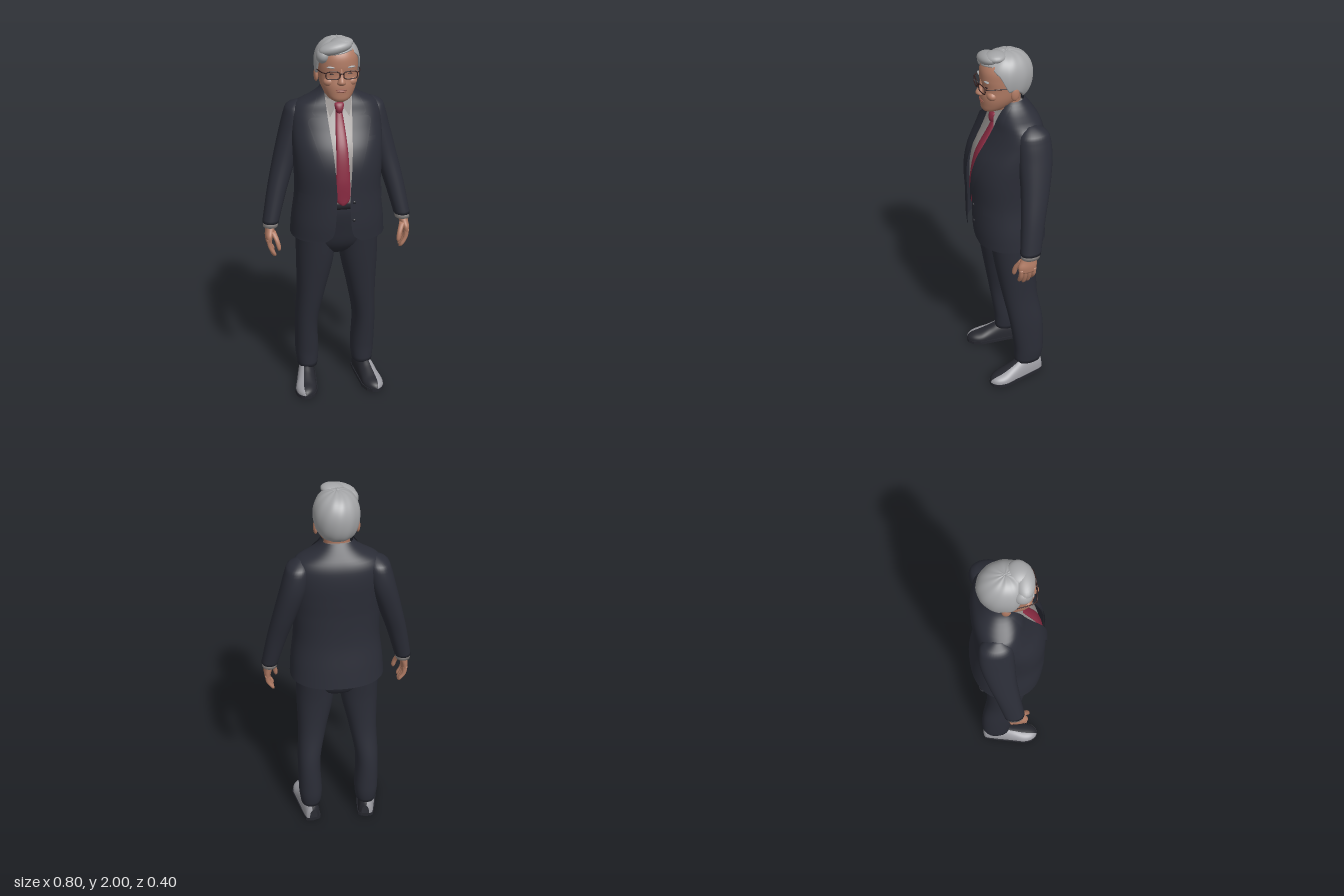
import * as THREE from 'three';

const mat = (name, color, side = THREE.FrontSide) => {
  const m = new THREE.MeshStandardMaterial({ color, side });
  m.name = name;
  return m;
};

// Read a table of rows [y, ...values] at height y, smoothly or linearly
function at(T, y, linear = false) {
  const last = T.length - 1;
  let i = 0;
  while (i < last - 1 && y > T[i + 1][0]) i++;
  const a = T[i], b = T[i + 1], h = b[0] - a[0];
  const t = THREE.MathUtils.clamp((y - a[0]) / h, 0, 1);
  const slope = (k, c) => {
    const p = T[Math.max(k - 1, 0)], q = T[Math.min(k + 1, last)];
    return (q[c] - p[c]) / (q[0] - p[0]);
  };
  return a.map((v, c) => {
    if (c === 0) return y;
    if (linear) return v + (b[c] - v) * t;
    const t2 = t * t, t3 = t2 * t;
    return (2 * t3 - 3 * t2 + 1) * v + (t3 - 2 * t2 + t) * h * slope(i, c)
      + (3 * t2 - 2 * t3) * b[c] + (t3 - t2) * h * slope(i + 1, c);
  });
}

// Surface from a rule fn(u, v) -> [x, y, z]; front side is du x dv
function grid(fn, nu, nv, closed = false) {
  const pos = [], idx = [], cols = closed ? nu : nu + 1;
  for (let j = 0; j <= nv; j++)
    for (let i = 0; i < cols; i++) pos.push(...fn(i / nu, j / nv));
  for (let j = 0; j < nv; j++)
    for (let i = 0; i < nu; i++) {
      const k = (i + 1) % cols, a = j * cols + i, b = j * cols + k;
      idx.push(a, b, b + cols, a, b + cols, a + cols);
    }
  const g = new THREE.BufferGeometry();
  g.setAttribute('position', new THREE.Float32BufferAttribute(pos, 3));
  g.setIndex(idx);
  g.computeVertexNormals();
  return g;
}

// Point on a superellipse section [y, cx, rx, front, back]
function ringPoint([y, cx, rx, f, b], a, n = 2.2, off = 0) {
  const p = v => Math.sign(v) * Math.pow(Math.abs(v), 2 / n);
  return [cx + (rx + off) * p(Math.sin(a)), y, (f + b) / 2 + ((f - b) / 2 + off) * p(Math.cos(a))];
}

// Closed body through sections listed from bottom to top
function loft(T, seg = 32, steps = 28, n = 2.2) {
  const y0 = T[0][0], y1 = T[T.length - 1][0];
  return grid((u, v) => {
    const r = Math.round(v * (steps + 2));
    const s = at(T, y0 + (y1 - y0) * THREE.MathUtils.clamp((r - 1) / steps, 0, 1));
    if (r === 0 || r === steps + 2) return [s[1], s[0], (s[3] + s[4]) / 2];
    return ringPoint(s, u * Math.PI * 2, n);
  }, seg, steps + 2, true);
}

function mirrored(geo) {
  const g = geo.clone().scale(-1, 1, 1);
  if (!g.index) g.setIndex([...Array(g.attributes.position.count).keys()]);
  const ix = g.index.array;
  for (let i = 0; i < ix.length; i += 3) [ix[i], ix[i + 2]] = [ix[i + 2], ix[i]];
  return g;
}

export function createModel() {
  const root = new THREE.Group();
  root.name = 'suitedMan';
  const suit = mat('suitCloth', 0x2b2d37, THREE.DoubleSide);
  const shirt = mat('shirtGrey', 0x989391, THREE.DoubleSide);
  const tieRed = mat('tieRed', 0x8a2b42);
  const skin = mat('skin', 0xb27c65);
  const lip = mat('lips', 0x96594d);
  const hair = mat('greyHair', 0xa4a5a7, THREE.DoubleSide);
  const frame = mat('glassesFrame', 0x35201f);
  const dark = mat('darkLeather', 0x26272e, THREE.DoubleSide);
  const grey = mat('greyLeather', 0x9b9ba1, THREE.DoubleSide);

  const add = (name, geo, m) => {
    const mesh = new THREE.Mesh(geo, m);
    mesh.name = name;
    root.add(mesh);
    return mesh;
  };
  const pair = (name, geo, m) => {
    add(name + 'Left', geo, m);
    add(name + 'Right', mirrored(geo), m);
  };
  const ball = (x, y, z, sx, sy, sz, rz = 0) =>
    new THREE.SphereGeometry(1, 24, 16).scale(sx, sy, sz).rotateZ(rz).translate(x, y, z);

  // Jacket: open shell whose front edges follow the opening half-width
  const J = [[0.955, 0, 0.25, 0.19, -0.2], [1.05, 0, 0.243, 0.197, -0.188], [1.2, 0, 0.226, 0.197, -0.168],
    [1.35, 0, 0.23, 0.194, -0.165], [1.45, 0, 0.235, 0.168, -0.17], [1.55, 0, 0.235, 0.115, -0.174],
    [1.62, 0, 0.228, 0.08, -0.167], [1.66, 0, 0.2, 0.066, -0.152], [1.69, 0, 0.14, 0.055, -0.132],
    [1.72, 0, 0.097, 0.045, -0.11], [1.745, 0, 0.079, 0.035, -0.09]];
  const opening = [[0.955, 0.1], [0.99, 0.055], [1.1, 0.038], [1.2, 0.035], [1.4, 0.047],
    [1.6, 0.063], [1.68, 0.068], [1.745, 0.07]];
  const N = 2.3;
  const angleAt = (s, x) => Math.asin(Math.pow(Math.min(x / s[2], 1), N / 2));
  add('jacketBody', grid((u, v) => {
    const y = 0.955 + 0.79 * v, s = at(J, y), a0 = angleAt(s, at(opening, y)[1]);
    return ringPoint(s, a0 + (2 * Math.PI - 2 * a0) * u, N);
  }, 64, 56), suit);

  // Flat pieces lying on the jacket front between two x limits
  const patch = (y0, y1, xa, xb, off, nv = 6) => grid((u, v) => {
    const y = y0 + (y1 - y0) * v, s = at(J, y), x = xa(y) + (xb(y) - xa(y)) * u;
    return ringPoint(s, angleAt(s, x), N, off);
  }, 8, nv);
  const lapelEdge = [[1.2, 0.037], [1.3, 0.072], [1.45, 0.12], [1.58, 0.158], [1.6, 0.15], [1.607, 0.115],
    [1.625, 0.135], [1.66, 0.122], [1.735, 0.082]];
  pair('lapel', patch(1.2, 1.735, y => at(opening, y)[1] - 0.002, y => at(lapelEdge, y, true)[1], 0.008, 60), suit);
  pair('pocketFlap', patch(1.165, 1.22, () => 0.14, () => 0.212, 0.007), suit);
  add('breastPocket', patch(1.485, 1.505, () => 0.1, () => 0.175, 0.006), suit);
  for (const y of [1.08, 1.18]) add('jacketButton', ball(0.055, y, 0.194, 0.009, 0.009, 0.006), dark);

  // Sleeves and shirt cuffs
  pair('sleeve', loft([[1.025, 0.355, 0.043, 0.052, -0.055], [1.2, 0.313, 0.052, 0.032, -0.092],
    [1.35, 0.27, 0.06, 0.018, -0.13], [1.5, 0.225, 0.067, 0.014, -0.158], [1.6, 0.203, 0.062, 0.01, -0.155],
    [1.64, 0.197, 0.05, -0.005, -0.135], [1.663, 0.185, 0.018, -0.04, -0.085]], 32, 40), suit);
  pair('shirtCuff', loft([[1.003, 0.357, 0.039, 0.049, -0.048], [1.04, 0.353, 0.039, 0.049, -0.048]], 28, 2), shirt);

  // Hands
  pair('palm', loft([[0.925, 0.37, 0.016, 0.066, -0.026], [0.96, 0.368, 0.021, 0.07, -0.03],
    [0.99, 0.361, 0.024, 0.055, -0.032], [1.02, 0.356, 0.027, 0.04, -0.035]], 24, 14), skin);
  [[0.054, 0.012], [0.032, 0], [0.009, 0.004], [-0.014, 0.02]].forEach(([z, lift], i) =>
    pair('finger' + (i + 1), loft([[0.838 + lift, 0.342, 0.006, z + 0.006, z - 0.006],
      [0.85 + lift, 0.347, 0.011, z + 0.011, z - 0.011], [0.9, 0.366, 0.012, z + 0.012, z - 0.012],
      [0.945, 0.371, 0.014, z + 0.013, z - 0.013]], 14, 10), skin));
  pair('thumb', loft([[0.888, 0.322, 0.006, 0.082, 0.068], [0.9, 0.322, 0.011, 0.086, 0.062],
    [0.94, 0.331, 0.013, 0.08, 0.053], [0.985, 0.35, 0.016, 0.058, 0.024]], 14, 10), skin);

  // Shirt front, collar band and wings
  const S = J.filter(s => s[0] >= 1.2 && s[0] < 1.7).map(([y, c, rx, f, b]) => [y, c, rx * 0.87, f - 0.022, b + 0.025]);
  add('shirtBody', loft([[1.165, 0, 0.195, 0.173, -0.14], ...S], 48, 32), shirt);
  add('shirtCollar', grid((u, v) => {
    const a = u * Math.PI * 2, y = 1.645 + 0.025 * (1 - Math.cos(a)) + 0.05 * v;
    return [(0.075 - 0.006 * v) * Math.sin(a), y, -0.014 + (0.07 - 0.004 * v) * Math.cos(a)];
  }, 40, 4, true), shirt);
  const wing = [[0.012, 1.668, 0.066], [0.05, 1.602, 0.08], [0.014, 1.688, 0.06], [0.07, 1.692, 0.036]];
  pair('collarWing', grid((u, v) => wing[u + 2 * v], 1, 1), shirt);

  // Tie follows the shirt front
  const front = y => at(S, y)[3];
  const blade = [[1.162, 0.012], [1.185, 0.035], [1.3, 0.036], [1.45, 0.03], [1.58, 0.022], [1.635, 0.015]];
  add('tieBlade', loft(blade.map(([y, w]) => {
    const z = y < 1.2 ? 0.175 : front(y);
    return [y, 0, w, z + 0.011, z - 0.012];
  }), 20, 30), tieRed);
  add('tieKnot', loft([[1.622, 0, 0.014, 0.082, 0.05], [1.64, 0, 0.02, 0.086, 0.05],
    [1.665, 0, 0.025, 0.078, 0.045], [1.674, 0, 0.02, 0.068, 0.045]], 20, 10), tieRed);

  // Trousers
  add('trouserHips', loft([[0.835, 0, 0.07, 0.04, -0.07], [0.87, 0, 0.14, 0.085, -0.115], [0.92, 0, 0.205, 0.118, -0.14],
    [1.0, 0, 0.222, 0.142, -0.16], [1.1, 0, 0.21, 0.165, -0.155], [1.172, 0, 0.195, 0.166, -0.145]], 48, 20), suit);
  add('waistband', loft([[1.135, 0, 0.2, 0.172, -0.15], [1.166, 0, 0.198, 0.177, -0.148]], 48, 2), dark);
  pair('trouserLeg', loft([[0.105, 0.158, 0.056, -0.002, -0.152], [0.15, 0.158, 0.062, 0.0, -0.162],
    [0.2, 0.159, 0.065, 0.002, -0.166], [0.4, 0.162, 0.063, 0.03, -0.158], [0.6, 0.14, 0.077, 0.066, -0.128],
    [0.8, 0.12, 0.1, 0.1, -0.126], [0.96, 0.115, 0.105, 0.122, -0.14]], 36, 36), suit);

  // Shoes turned outward: grey outer side, dark inner side, dark sole
  const F = [[-0.16, 0.022, 0.06], [-0.15, 0.038, 0.085], [-0.09, 0.046, 0.1], [-0.03, 0.05, 0.1], [0.03, 0.054, 0.072],
    [0.09, 0.058, 0.048], [0.135, 0.045, 0.036], [0.16, 0.022, 0.022], [0.167, 0.004, 0.006]];
  const place = g => g.rotateY(0.16).translate(0.175, 0, 0);
  const upper = (b0, b1) => place(grid((u, v) => {
    const [z, w, h] = at(F, -0.16 + 0.327 * u), b = Math.PI * (b0 + (b1 - b0) * v);
    return [w * Math.cos(b), 0.022 + h * Math.pow(Math.sin(b), 0.8), z];
  }, 40, 14).scale(1, 1, 1));
  pair('shoeOuter', upper(0, 0.42), grey);
  pair('shoeInner', upper(0.42, 1), dark);
  const edge = F.map(([z, w]) => new THREE.Vector2(w + 0.005, z));
  const outline = new THREE.Shape([...edge, ...edge.map(p => new THREE.Vector2(-p.x, p.y)).reverse()]);
  pair('shoeSole', place(new THREE.ExtrudeGeometry(outline, { depth: 0.019, bevelEnabled: false })
    .rotateX(Math.PI / 2).translate(0, 0.025, 0)), dark);
  pair('shoeHeel', place(new THREE.CylinderGeometry(0.045, 0.043, 0.022, 24).translate(0, 0.011, -0.115)), dark);

  // Neck and head
  add('neck', loft([[1.6, 0, 0.068, 0.03, -0.09], [1.7, 0, 0.064, 0.053, -0.075], [1.8, 0, 0.07, 0.06, -0.08]], 32, 8), skin);
  add('head', loft([[1.688, 0, 0.025, 0.11, 0.055], [1.7, 0, 0.05, 0.121, 0.02], [1.73, 0, 0.074, 0.125, -0.03],
    [1.77, 0, 0.091, 0.127, -0.07], [1.82, 0, 0.099, 0.121, -0.095], [1.87, 0, 0.102, 0.126, -0.11],
    [1.92, 0, 0.099, 0.12, -0.11], [1.96, 0, 0.078, 0.09, -0.085], [1.982, 0, 0.04, 0.04, -0.05]], 48, 40), skin);
  add('nose', loft([[1.777, 0, 0.012, 0.135, 0.105], [1.785, 0, 0.022, 0.149, 0.105], [1.797, 0, 0.019, 0.152, 0.105],
    [1.825, 0, 0.012, 0.136, 0.1], [1.86, 0, 0.01, 0.126, 0.1]], 20, 16, 1.9), skin);
  add('upperLip', ball(0, 1.753, 0.122, 0.03, 0.005, 0.009), lip);
  add('lowerLip', ball(0, 1.744, 0.121, 0.025, 0.006, 0.009), lip);
  pair('ear', ball(0.104, 1.805, -0.012, 0.012, 0.037, 0.022), skin);
  pair('cheek', ball(0.052, 1.79, 0.088, 0.033, 0.025, 0.026), skin);
  pair('eye', ball(0.042, 1.833, 0.111, 0.015, 0.004, 0.006), frame);
  pair('eyebrow', ball(0.045, 1.866, 0.113, 0.027, 0.005, 0.01, 0.08), hair);

  // Glasses
  const rim = Array.from({ length: 20 }, (_, i) => {
    const [x, , y] = ringPoint([0, 0.044, 0.035, 0.019, -0.019], i / 20 * Math.PI * 2, 3.2);
    return new THREE.Vector3(x, 1.831 + y, 0.139 - 0.16 * Math.max(x - 0.03, 0));
  });
  const wire = (pts, closed) => new THREE.TubeGeometry(new THREE.CatmullRomCurve3(pts, closed), closed ? 48 : 12, 0.0028, 8, closed);
  const V = (x, y, z) => new THREE.Vector3(x, y, z);
  pair('lensRim', wire(rim, true), frame);
  pair('glassesArm', wire([V(0.078, 1.842, 0.131), V(0.092, 1.843, 0.115), V(0.105, 1.842, 0.05), V(0.108, 1.835, -0.01)], false), frame);
  add('glassesBridge', wire([V(-0.01, 1.836, 0.139), V(0, 1.84, 0.142), V(0.01, 1.836, 0.139)], false), frame);

  // Hair cap ending at a hairline angle that varies around the head, with a turned-in edge
  const hairline = [[-180, 152], [-130, 148], [-108, 122], [-92, 112], [-80, 115], [-64, 82], [-40, 66], [0, 60],
    [35, 54], [62, 76], [80, 115], [92, 112], [108, 122], [130, 148], [180, 152]];
  add('hairCap', grid((u, v) => {
    const deg = u * 360 - 180, a = THREE.MathUtils.degToRad(deg), r = Math.round((1 - v) * 26);
    const phi = Math.min(r / 24, 1) * THREE.MathUtils.degToRad(at(hairline, deg, true)[1]);
    const k = (1 - 0.08 * Math.max(r - 24, 0)) * (1 + 0.006 * Math.sin(11 * a + 3 * phi));
    const q = k * Math.pow(Math.sin(phi), phi < Math.PI / 2 ? 0.8 : 0.5);
    return [0.116 * q * Math.sin(a), 1.87 + 0.123 * k * Math.cos(phi), -0.004 + 0.136 * q * Math.cos(a)];
  }, 72, 26, true), hair);
  // Swept fringe locks
  add('fringeMain', ball(-0.022, 1.955, 0.078, 0.085, 0.034, 0.05, 0.22), hair);
  add('fringeSide', ball(-0.082, 1.918, 0.066, 0.034, 0.04, 0.045, -0.25), hair);
  add('fringeCrest', ball(0.012, 1.972, 0.055, 0.06, 0.028, 0.055, 0.1), hair);
  return root;
}
